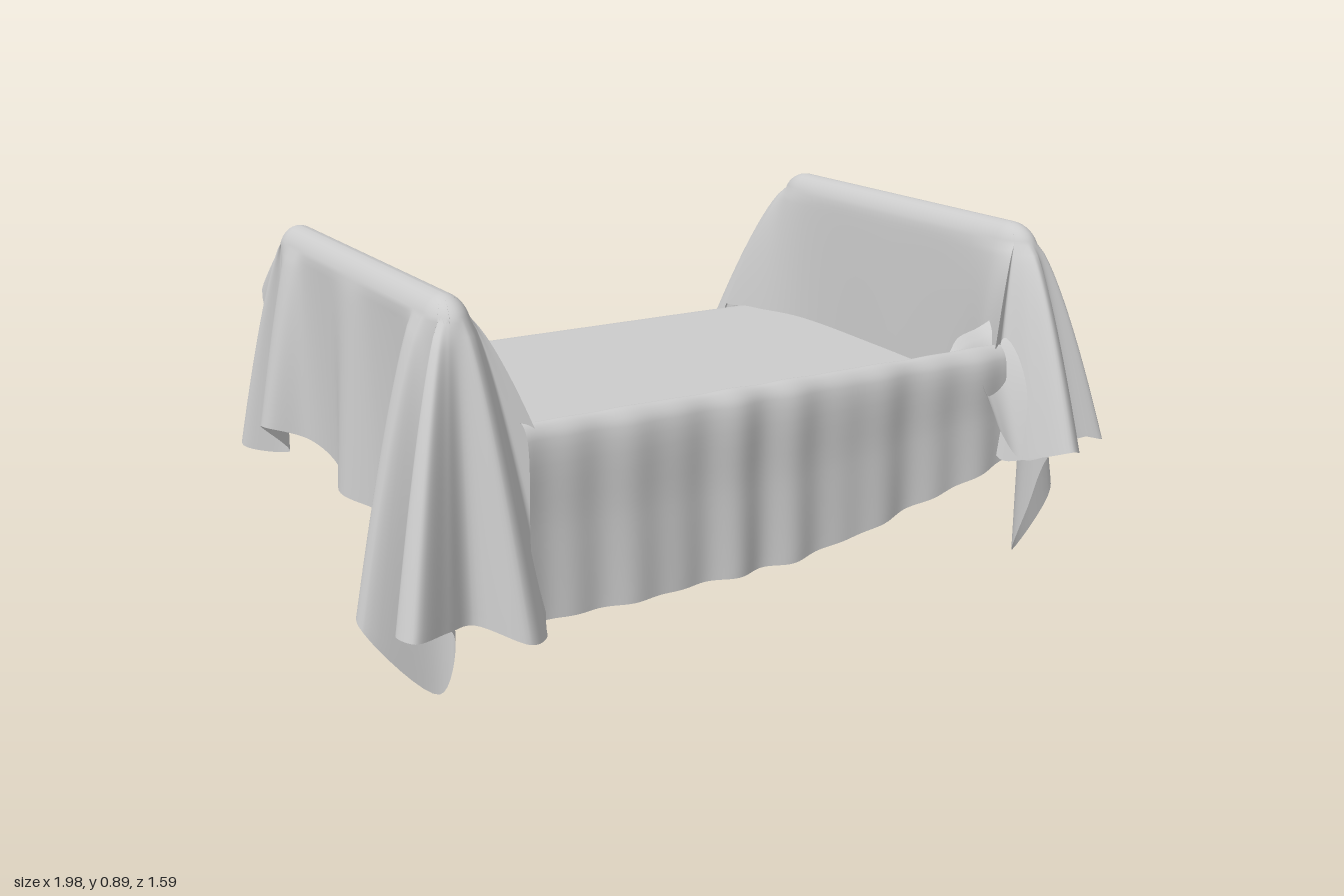
import * as THREE from 'three';

const cloth = new THREE.MeshStandardMaterial({ color: 0xcccccc, side: THREE.DoubleSide });
const curve = (pts) => new THREE.CatmullRomCurve3(pts.map((p) => new THREE.Vector3(...p)));
const { clamp, lerp, smoothstep } = THREE.MathUtils;

// Smooth grid surface from a rule fn(u, v) -> Vector3
function sheet(name, nu, nv, fn) {
  const pos = [], idx = [];
  for (let i = 0; i <= nu; i++)
    for (let j = 0; j <= nv; j++) pos.push(...fn(i / nu, j / nv).toArray());
  for (let i = 0; i < nu; i++)
    for (let j = 0; j < nv; j++) {
      const a = i * (nv + 1) + j, b = a + nv + 1;
      idx.push(a, b, a + 1, b, b + 1, a + 1);
    }
  const geo = new THREE.BufferGeometry();
  geo.setAttribute('position', new THREE.Float32BufferAttribute(pos, 3));
  geo.setIndex(idx);
  geo.computeVertexNormals();
  const mesh = new THREE.Mesh(geo, cloth);
  mesh.name = name;
  return mesh;
}

// Cloth falling from a top point to a hem point, bulging out near the top
function fall(top, hem, t, power) {
  const h = Math.pow(t, power);
  return new THREE.Vector3(lerp(top.x, hem.x, h), lerp(top.y, hem.y, t), lerp(top.z, hem.z, h));
}

// Cloth over the rounded ridge of an end panel, then down to a hem line
function hanging(name, side, hems, power, nu) {
  const c = curve(hems), arc = 0.25;
  return sheet(name, nu, 32, (u, v) => {
    const hem = c.getPoint(u), z = clamp(hem.z, -0.45, 0.45);
    const a = Math.atan2(hem.z - z, hem.x - side * 0.77);
    const turn = Math.min(v / arc, 1) * 1.25;
    const top = new THREE.Vector3(
      side * 0.77 + 0.052 * Math.cos(a) * Math.sin(turn),
      0.895 + 0.018 * z - 0.07 * (1 - Math.cos(turn)),
      z + 0.09 * Math.sin(a) * Math.sin(turn));
    return v <= arc ? top : fall(top, hem, (v - arc) / (1 - arc), power(u));
  });
}

// Hem lines run from the back inner corner, around the outside, to the front inner corner
const leftHem = [
  [0.60, 0.48, -0.62], [0.58, 0.36, -0.66], [0.575, 0.31, -0.73], [0.61, 0.33, -0.73],
  [0.66, 0.42, -0.67], [0.74, 0.52, -0.67], [0.80, 0.50, -0.77], [0.85, 0.47, -0.795],
  [0.89, 0.45, -0.75], [0.87, 0.30, -0.66], [0.84, 0.14, -0.57], [0.82, 0.32, -0.50],
  [0.96, 0.38, -0.47], [0.97, 0.38, -0.43], [0.84, 0.38, -0.38], [0.82, 0.36, -0.25],
  [0.82, 0.335, 0.02], [0.85, 0.325, 0.12], [0.82, 0.315, 0.22], [0.82, 0.30, 0.33],
  [0.85, 0.25, 0.38], [0.99, 0.20, 0.39], [0.98, 0.15, 0.43], [0.83, 0.01, 0.46],
  [0.81, 0.15, 0.53], [0.84, 0.32, 0.58], [0.92, 0.36, 0.62], [0.91, 0.37, 0.68],
  [0.82, 0.39, 0.66], [0.77, 0.38, 0.75], [0.71, 0.40, 0.79], [0.66, 0.37, 0.71],
  [0.63, 0.35, 0.61], [0.62, 0.60, 0.59],
];
const rightHem = [
  [-0.60, 0.48, -0.62], [-0.57, 0.30, -0.66], [-0.565, 0.33, -0.72], [-0.61, 0.38, -0.72],
  [-0.68, 0.54, -0.65], [-0.75, 0.68, -0.735], [-0.79, 0.68, -0.735], [-0.81, 0.46, -0.62],
  [-0.89, 0.30, -0.66], [-0.91, 0.28, -0.61], [-0.82, 0.28, -0.50], [-0.92, 0.39, -0.41],
  [-0.92, 0.40, -0.36], [-0.84, 0.38, -0.29], [-0.82, 0.355, -0.12], [-0.87, 0.34, 0.03],
  [-0.82, 0.325, 0.16], [-0.82, 0.30, 0.36], [-0.98, 0.20, 0.41], [-0.98, 0.17, 0.45],
  [-0.83, 0.01, 0.50], [-0.81, 0.16, 0.55], [-0.88, 0.23, 0.60], [-0.98, 0.24, 0.64],
  [-0.96, 0.24, 0.70], [-0.87, 0.23, 0.66], [-0.80, 0.22, 0.63], [-0.71, 0.19, 0.72],
  [-0.66, 0.18, 0.69], [-0.62, 0.18, 0.61], [-0.62, 0.60, 0.59],
];

// Inner wall line where an end panel meets the bed
const innerLine = (s) => [
  [0.60, 0.48, -0.62], [0.66, 0.475, -0.50], [0.70, 0.475, -0.38], [0.71, 0.475, 0],
  [0.70, 0.475, 0.36], [0.66, 0.50, 0.48], [0.62, 0.60, 0.59],
].map(([x, y, z]) => [s * x, y, z]);

// Side profile of the bed sheet; k is the front wrinkle depth, flare pushes the back hem out
const bedProfile = (back, front, k, flare) => curve([
  [0, back, -0.625 - flare], [0, (back + 0.46) / 2, -0.622 - flare * 0.7],
  [0, 0.44, -0.612 - flare * 0.2], [0, 0.478, -0.585],
  [0, 0.48, -0.5], [0, 0.48, 0], [0, 0.48, 0.35], [0, 0.495, 0.45], [0, 0.535, 0.525],
  [0, 0.60, 0.545 + k / 2], [0, 0.628 + k / 4, 0.57], [0, 0.60, 0.60 + k],
  [0, (front + 0.6) / 2, 0.605 + k * 1.3], [0, front, 0.61 + k * 1.8],
]);
const backHem = (x) => 0.175 + 0.15 * clamp((Math.abs(x) - 0.53) / 0.12, 0, 1);
const frontHem = (x) => 0.18 + 0.02 * clamp(x + 0.5, 0, 0.5) + 0.15 * Math.pow(clamp(x / 0.66, 0, 1), 1.3);

export function createModel() {
  const model = new THREE.Group();
  model.name = 'drapedBed';

  // End panels: outer skirt with corner folds, and inner wall
  for (const [s, label, hem] of [[1, 'left', leftHem], [-1, 'right', rightHem]]) {
    const panel = new THREE.Group();
    panel.name = label + 'EndPanel';
    panel.add(hanging(label + 'Skirt', s, hem, () => 0.75, 240));
    panel.add(hanging(label + 'InnerWall', s, innerLine(s), (u) => 0.75 - 0.2 * Math.sin(Math.PI * u), 60));
    model.add(panel);
  }

  // Bed sheet: back drop, flat bed, raised front rail and front drop in one sweep
  model.add(sheet('bedSheet', 110, 80, (u, v) => {
    const x = (u - 0.5) * 1.43, end = x * 0.91;
    const k = 0.004 * Math.sin(x * 23 + 2 * Math.sin(x * 5)) + 0.003 * Math.sin(x * 41 + 1);
    const flare = 0.07 * smoothstep(Math.abs(end), 0.42, 0.62);
    const p = bedProfile(backHem(end), frontHem(end), k, flare).getPoint(v);
    return p.setX(lerp(x, end, smoothstep(Math.abs(p.z), 0.4, 0.58)));
  }));

  // Bunched fold at the left front corner
  const foldTop = curve([[0.52, 0.615, 0.54], [0.57, 0.64, 0.51], [0.64, 0.655, 0.50], [0.70, 0.68, 0.50]]);
  const foldHem = curve([[0.57, 0.54, 0.62], [0.61, 0.42, 0.65], [0.65, 0.36, 0.68], [0.70, 0.40, 0.77]]);
  model.add(sheet('cornerFold', 24, 20, (u, v) =>
    fall(foldTop.getPoint(u), foldHem.getPoint(u), v, 0.6)));
  return model;
}
